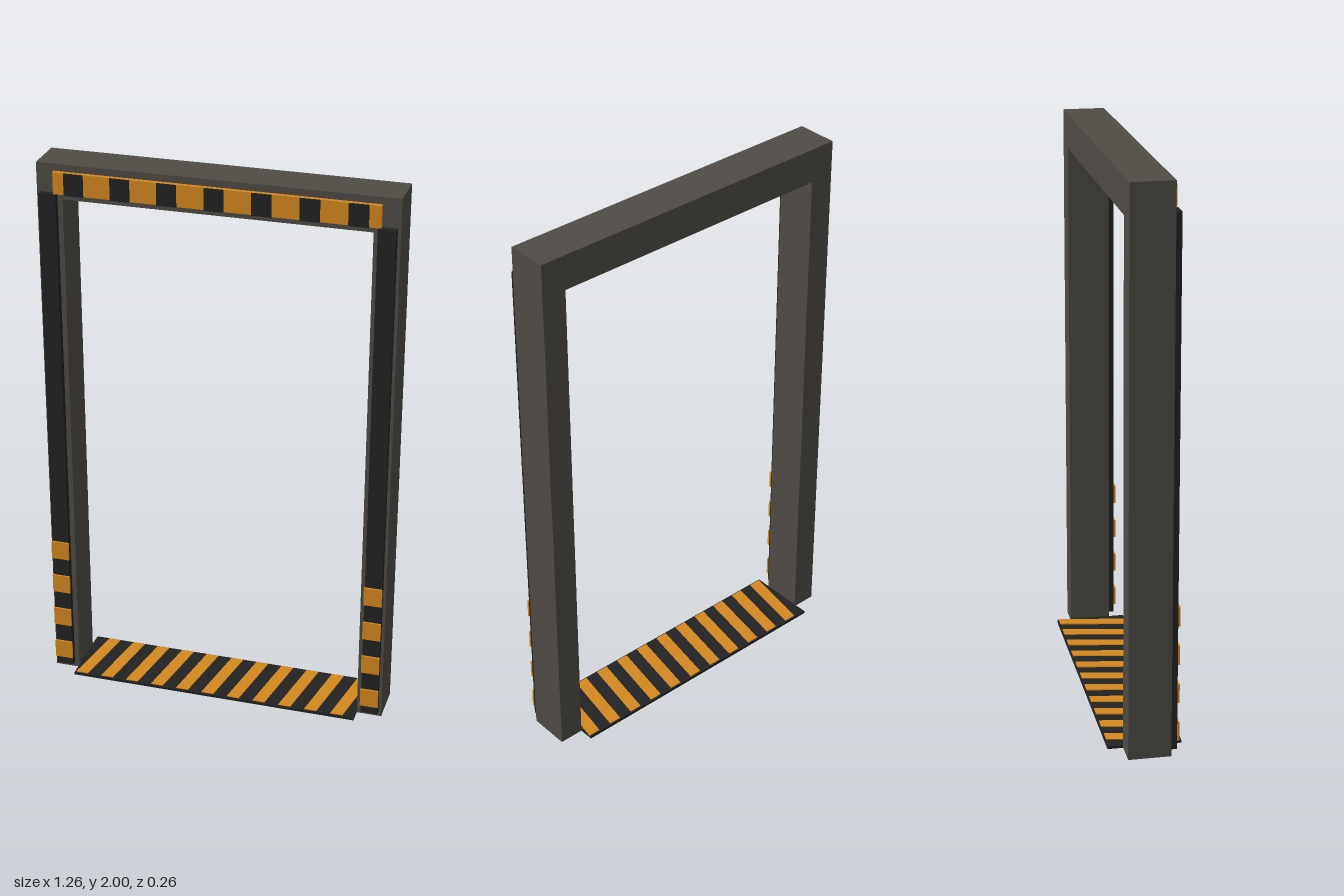
import * as THREE from 'three';

const material = (name, color) => {
  const m = new THREE.MeshStandardMaterial({ color });
  m.name = name;
  return m;
};

export function createModel() {
  const metal = material('darkMetal', 0x4f4b45);
  const black = material('black', 0x222222);
  const orange = material('warningOrange', 0xd4881f);
  const model = new THREE.Group();
  model.name = 'doorFrame';

  // Box given by its lower and upper corners
  const box = (name, mat, [x0, y0, z0], [x1, y1, z1]) => {
    const mesh = new THREE.Mesh(new THREE.BoxGeometry(x1 - x0, y1 - y0, z1 - z0), mat);
    mesh.position.set((x0 + x1) / 2, (y0 + y1) / 2, (z0 + z1) / 2);
    mesh.name = name;
    model.add(mesh);
  };

  // Frame: one upside-down U, extruded front to back
  const outline = [[-0.628, 0], [-0.537, 0], [-0.537, 1.875], [0.537, 1.875],
    [0.537, 0], [0.628, 0], [0.628, 2], [-0.628, 2]];
  const frameShape = new THREE.Shape(outline.map(([x, y]) => new THREE.Vector2(x, y)));
  const frameGeometry = new THREE.ExtrudeGeometry(frameShape, { depth: 0.15, bevelEnabled: false });
  frameGeometry.translate(0, 0, -0.075);
  const frame = new THREE.Mesh(frameGeometry, metal);
  frame.name = 'frame';
  model.add(frame);

  // Post strips with four warning blocks near the floor
  for (const [side, s] of [['left', 1], ['right', -1]]) {
    const c = s * 0.586;
    box(side + 'PostStrip', black, [c - 0.031, 0.02, 0.075], [c + 0.031, 1.897, 0.097]);
    for (let i = 0; i < 4; i++) {
      const y = 0.087 + i * 0.142;
      box(side + 'PostBlock', orange, [c - 0.033, y - 0.035, 0.097], [c + 0.033, y + 0.035, 0.104]);
    }
  }

  // Header panel with seven black bars
  box('headerPanel', orange, [-0.565, 1.897, 0.075], [0.565, 1.975, 0.091]);
  for (let i = -3; i <= 3; i++) {
    const x = i * 0.1635;
    box('headerBar', black, [x - 0.034, 1.897, 0.091], [x + 0.034, 1.975, 0.097]);
  }

  // Threshold plate with slanted stripes
  box('threshold', black, [-0.537, 0, -0.13], [0.537, 0.01, 0.13]);
  const slant = 0.022, half = 0.023, reach = 0.125;
  const stripeShape = new THREE.Shape([
    new THREE.Vector2(-slant - half, -reach), new THREE.Vector2(-slant + half, -reach),
    new THREE.Vector2(slant + half, reach), new THREE.Vector2(slant - half, reach),
  ]);
  const stripeGeometry = new THREE.ExtrudeGeometry(stripeShape, { depth: 0.003, bevelEnabled: false });
  stripeGeometry.rotateX(-Math.PI / 2);
  for (let i = 0; i < 11; i++) {
    const stripe = new THREE.Mesh(stripeGeometry, orange);
    stripe.position.set(-0.486 + i * 0.098, 0.01, 0);
    stripe.name = 'thresholdStripe';
    model.add(stripe);
  }
  return model;
}
